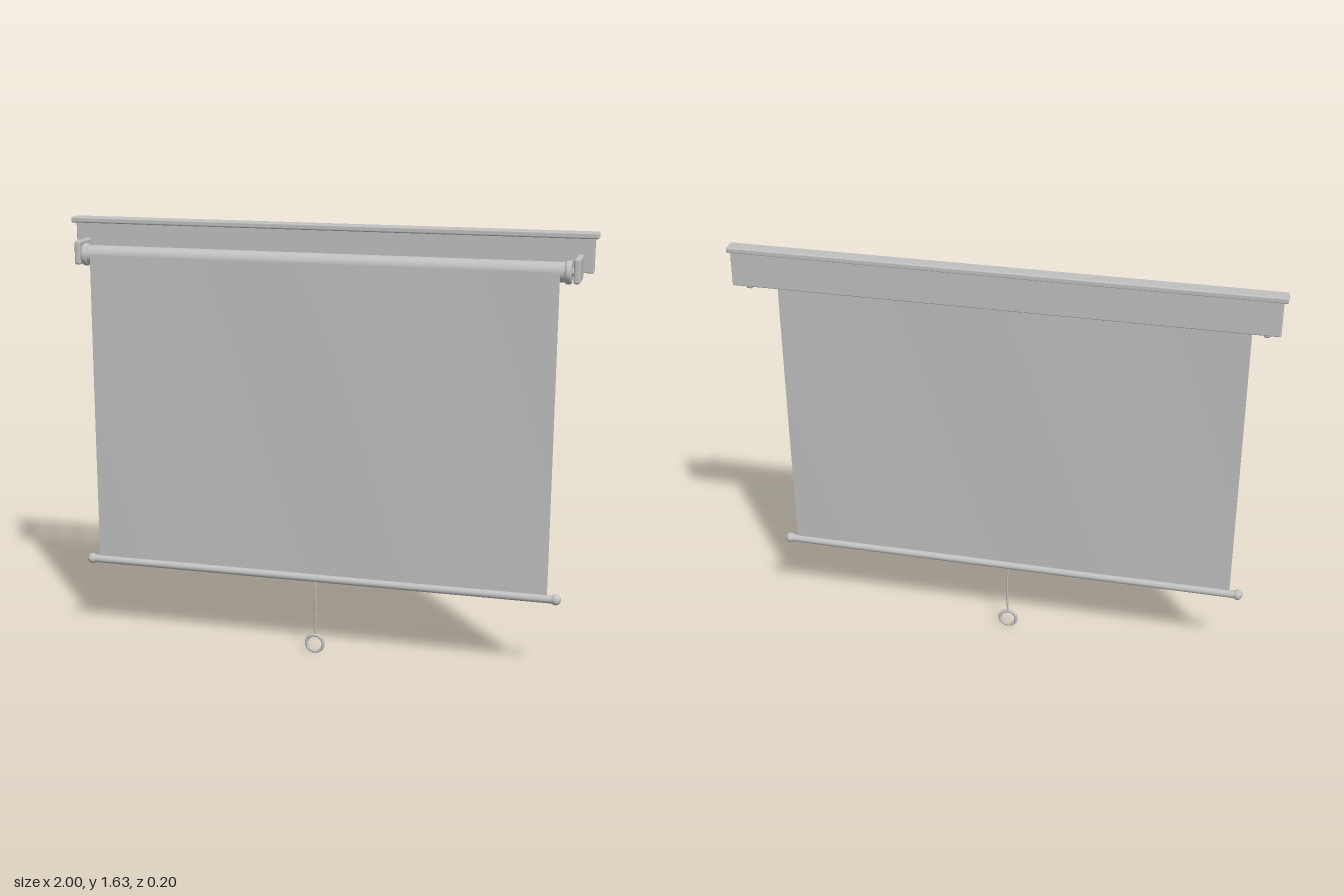
import * as THREE from 'three';
import { RoundedBoxGeometry } from 'three/addons/geometries/RoundedBoxGeometry.js';

export function createModel() {
  const model = new THREE.Group();
  model.name = 'rollerScreen';
  const grey = new THREE.MeshStandardMaterial({ color: 0xc0c0c0 });
  grey.name = 'light grey';
  const cloth = new THREE.MeshStandardMaterial({ color: 0xc0c0c0, side: THREE.DoubleSide });
  cloth.name = 'cloth grey';

  const add = (name, geometry, x, y, z, material = grey) => {
    const mesh = new THREE.Mesh(geometry, material);
    mesh.name = name;
    mesh.position.set(x, y, z);
    model.add(mesh);
    return mesh;
  };
  const rod = (r, length, sides = 32) =>
    new THREE.CylinderGeometry(r, r, length, sides).rotateZ(Math.PI / 2);

  // Rounded disc turned around the x axis
  const disc = (r, width, bevel) => {
    const h = width / 2;
    const points = [[0, -h], [r - bevel, -h], [r - bevel * 0.3, -h + bevel * 0.3], [r, -h + bevel],
      [r, h - bevel], [r - bevel * 0.3, h - bevel * 0.3], [r - bevel, h], [0, h]];
    return new THREE.LatheGeometry(points.map(p => new THREE.Vector2(...p)), 32).rotateZ(Math.PI / 2);
  };

  // Wall board and its top lip
  add('backBoard', new RoundedBoxGeometry(1.97, 0.14, 0.04, 2, 0.004), 0, 1.556, -0.077);
  add('topLip', new RoundedBoxGeometry(2, 0.022, 0.057, 3, 0.006), 0, 1.62, -0.0695);

  // Roller with end flanges, pins and brackets
  const rollerY = 1.5, rollerZ = 0.031;
  add('roller', rod(0.036, 1.8), 0, rollerY, rollerZ);
  for (const side of [-1, 1]) {
    add('rollerFlange', disc(0.042, 0.024, 0.007), side * 0.907, rollerY, rollerZ);
    add('rollerPin', rod(0.014, 0.05, 16), side * 0.92, rollerY, rollerZ);
    add('bracket', new RoundedBoxGeometry(0.024, 0.09, 0.119, 3, 0.008), side * 0.937, 1.507, -0.0035);
  }

  // Hanging cloth with soft ripples that grow toward the bottom
  const topY = 1.5, bottomY = 0.3;
  const sheet = new THREE.PlaneGeometry(1.76, topY - bottomY, 60, 24);
  const pos = sheet.attributes.position;
  for (let i = 0; i < pos.count; i++) {
    const t = 0.5 - pos.getY(i) / (topY - bottomY);
    const ripple = 0.003 * Math.sin(pos.getX(i) * 6) * Math.sin(Math.PI * t * 0.85);
    pos.setZ(i, 0.069 + 0.009 * t + ripple);
  }
  sheet.computeVertexNormals();
  add('cloth', sheet, 0, (topY + bottomY) / 2, 0, cloth);

  // Bottom bar with ball ends
  add('bottomBar', rod(0.015, 1.82, 24), 0, 0.301, 0.078);
  for (const side of [-1, 1]) {
    add('barEnd', new THREE.SphereGeometry(0.02, 24, 16), side * 0.912, 0.301, 0.078);
  }

  // Pull cord and ring
  const path = new THREE.CatmullRomCurve3([
    new THREE.Vector3(0, 0.295, 0.086), new THREE.Vector3(0.003, 0.22, 0.087),
    new THREE.Vector3(0.004, 0.14, 0.087), new THREE.Vector3(0, 0.074, 0.086),
  ]);
  add('pullCord', new THREE.TubeGeometry(path, 24, 0.004, 8), 0, 0, 0);
  add('pullRing', new THREE.TorusGeometry(0.033, 0.0065, 12, 40), 0, 0.0395, 0.087);

  return model;
}
